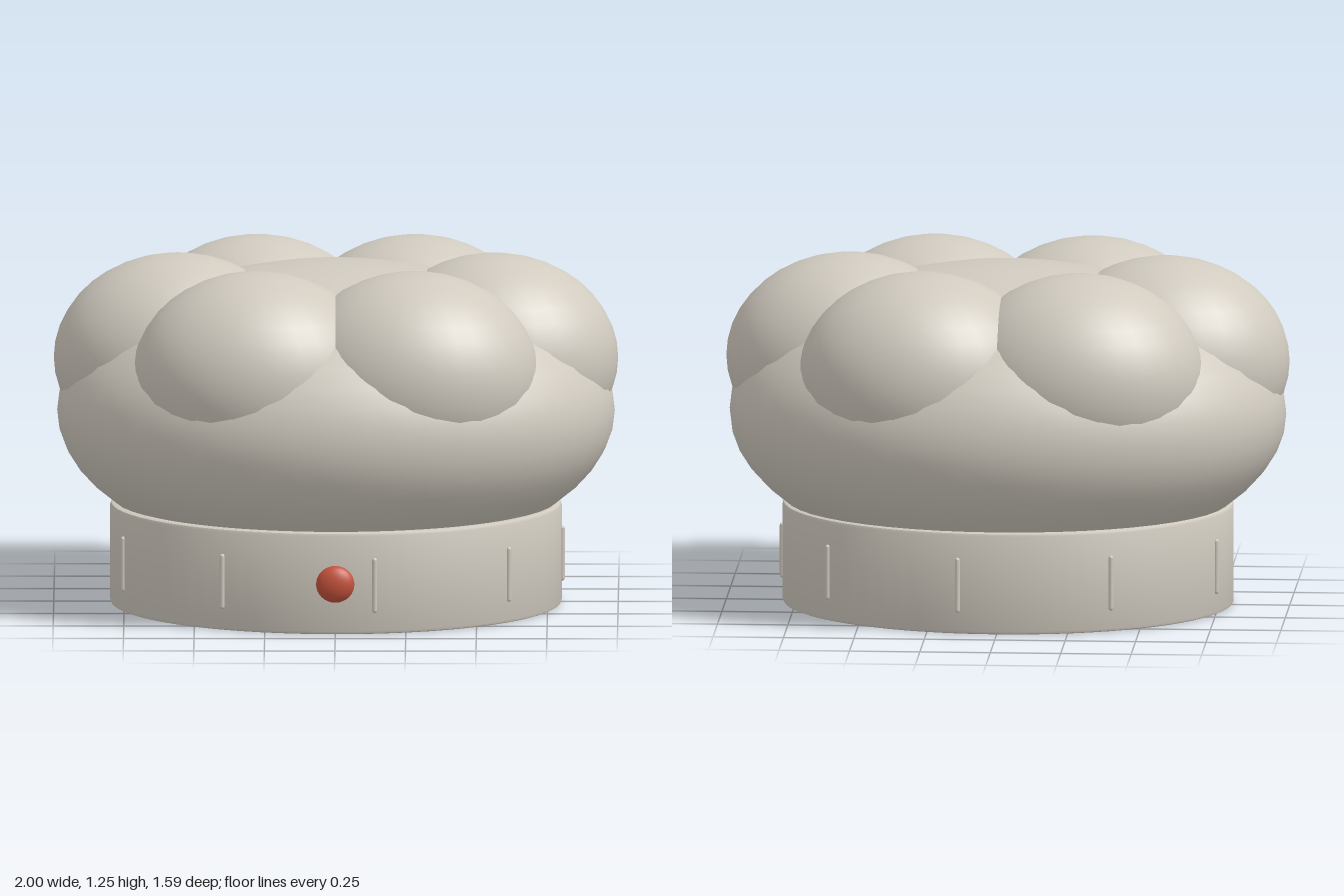
import * as THREE from 'three';
import { toCreasedNormals } from 'three/addons/utils/BufferGeometryUtils.js';

export function createModel() {
  const model = new THREE.Group();
  model.name = 'puffyHat';

  const cloth = new THREE.MeshStandardMaterial({ color: 0xd0cabf });
  cloth.name = 'warm grey cloth';
  const red = new THREE.MeshStandardMaterial({ color: 0xc4523c });
  red.name = 'red button';

  const add = (name, geometry, material, x, y, z) => {
    const mesh = new THREE.Mesh(geometry, material);
    mesh.name = name;
    mesh.position.set(x, y, z);
    model.add(mesh);
    return mesh;
  };
  const ellipsoid = (rx, ry, rz, w, h) => new THREE.SphereGeometry(1, w, h).scale(rx, ry, rz);

  // Oval head band: a hollow ring with softened rims
  const bandX = 0.8, bandZ = 0.66, bandOffset = 0.011;
  const o = bandX, i = 0.755, top = 0.365, b = 0.012;
  const profile = [
    [o - b, 0], [o - b * 0.3, b * 0.3], [o, b],
    [o, top - b], [o - b * 0.3, top - b * 0.3], [o - b, top],
    [i + b, top], [i + b * 0.3, top - b * 0.3], [i, top - b],
    [i, b], [i + b * 0.3, b * 0.3], [i + b, 0], [o - b, 0],
  ].map(([x, y]) => new THREE.Vector2(x, y));
  const band = new THREE.LatheGeometry(profile, 72).scale(1, 1, bandZ / bandX);
  add('headBand', toCreasedNormals(band, 0.6), cloth, 0, 0, bandOffset);

  // Wide crown resting in the band
  add('crown', ellipsoid(0.988, 0.53, 0.796, 48, 24), cloth, 0, 0.69, 0);

  // Ring of six puffs around the top
  const puff = ellipsoid(0.44, 0.37, 0.375, 32, 20);
  for (let k = 0; k < 6; k++) {
    const a = k * Math.PI / 3;
    add(`puff${k + 1}`, puff, cloth, 0.56 * Math.cos(a), 0.88, 0.428 * Math.sin(a));
  }

  // Raised pleat stitches around the band
  const pleat = new THREE.CapsuleGeometry(0.009, 0.18, 4, 10);
  for (let k = 0; k < 9; k++) {
    const a = k * Math.PI * 2 / 9;
    add(`pleat${k + 1}`, pleat, cloth,
      (bandX + 0.002) * Math.cos(a), 0.176, (bandZ + 0.002) * Math.sin(a) + bandOffset);
  }

  // Front button
  add('button', ellipsoid(0.068, 0.066, 0.037, 24, 16), red, 0, 0.184, 0.686);

  return model;
}
